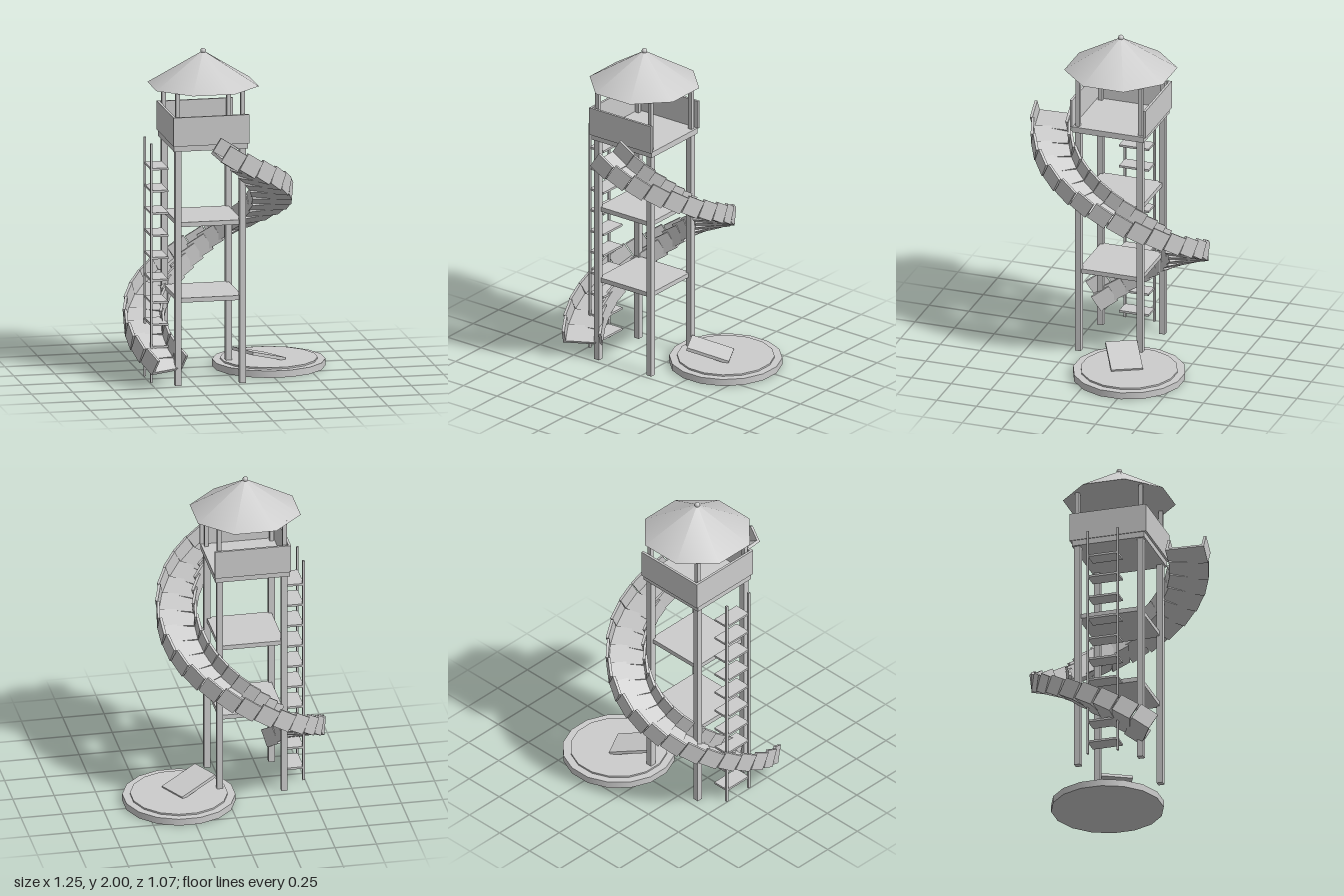
import * as THREE from 'three';

export function createModel() {
  const model = new THREE.Group();
  const grey = new THREE.MeshStandardMaterial({ color: 0xcccccc });
  grey.name = 'light grey';

  const add = (name, geometry, x, y, z, parent = model) => {
    const mesh = new THREE.Mesh(geometry, grey);
    mesh.name = name;
    mesh.position.set(x, y, z);
    parent.add(mesh);
    return mesh;
  };
  const box = (name, w, h, d, x, y, z, parent) =>
    add(name, new THREE.BoxGeometry(w, h, d), x, y, z, parent);

  // Tower: legs, roof posts, decks
  const tower = new THREE.Group();
  tower.name = 'tower';
  tower.position.set(-0.157, 0, 0.008);
  model.add(tower);
  for (const sx of [-1, 1]) {
    for (const sz of [-1, 1]) {
      box('leg', 0.037, 1.44, 0.037, sx * 0.195, 0.72, sz * 0.195, tower);
      box('roofPost', 0.025, 0.34, 0.025, sx * 0.197, 1.62, sz * 0.197, tower);
    }
  }
  for (const y of [0.515, 0.975]) box('middleDeck', 0.39, 0.028, 0.39, 0, y, 0, tower);
  box('topDeck', 0.45, 0.036, 0.45, 0, 1.445, 0, tower);

  // Guard panels on three sides, open on the left
  for (const s of [-1, 1]) box('guardPanel', 0.46, 0.175, 0.015, 0, 1.549, s * 0.231, tower);
  box('guardPanel', 0.015, 0.175, 0.446, -0.2225, 1.549, 0, tower);

  // Eight-sided roof with a finial
  const roof = add('roof', new THREE.ConeGeometry(0.336, 0.205, 8), 0, 1.8825, 0, tower);
  roof.rotation.y = Math.PI / 8;
  add('finial', new THREE.SphereGeometry(0.017, 12, 8), 0, 1.983, 0, tower);

  // Ladder
  const ladder = new THREE.Group();
  ladder.name = 'ladder';
  ladder.position.set(-0.491, 0, 0.01);
  model.add(ladder);
  for (const s of [-1, 1]) box('ladderRail', 0.013, 1.455, 0.013, 0, 0.7275, s * 0.093, ladder);
  for (let i = 0; i < 10; i++) box('rung', 0.104, 0.013, 0.186, 0.05, 0.08 + i * 0.1352, 0, ladder);

  // Spiral slide: straight trough pieces along a descending curve
  const slide = new THREE.Group();
  slide.name = 'slide';
  model.add(slide);
  const count = 24;
  const pathPoint = (t) => {
    const a = THREE.MathUtils.degToRad(-4 + 311 * t);
    return new THREE.Vector3(-0.127 + 0.38 * Math.sin(a), 1.425 - 1.32 * t, 0.003 + 0.413 * Math.cos(a));
  };
  for (let i = 0; i < count; i++) {
    const start = pathPoint(i / count);
    const end = pathPoint((i + 1) / count);
    const piece = new THREE.Group();
    piece.name = 'slideSection';
    piece.position.copy(start).lerp(end, 0.5);
    piece.lookAt(end);
    slide.add(piece);
    box('slideFloor', 0.22, 0.018, 0.12, 0, 0, 0, piece);
    for (const s of [-1, 1]) box('slideWall', 0.016, 0.11, 0.12, s * 0.11, 0.046, 0, piece);
  }

  // Round landing pool
  const pool = new THREE.Group();
  pool.name = 'pool';
  pool.position.set(0.287, 0, -0.205);
  pool.rotation.y = Math.PI / 16;
  model.add(pool);
  add('poolBase', new THREE.CylinderGeometry(0.336, 0.336, 0.042, 16), 0, 0.021, 0, pool);
  add('poolSurface', new THREE.CylinderGeometry(0.29, 0.29, 0.012, 16), 0, 0.046, 0, pool);

  // Tilted ramp dipping into the pool
  const ramp = box('ramp', 0.262, 0.02, 0.19, 0.215, 0.088, -0.147);
  ramp.rotation.set(0, THREE.MathUtils.degToRad(28), THREE.MathUtils.degToRad(-15.5), 'YXZ');

  return model;
}
